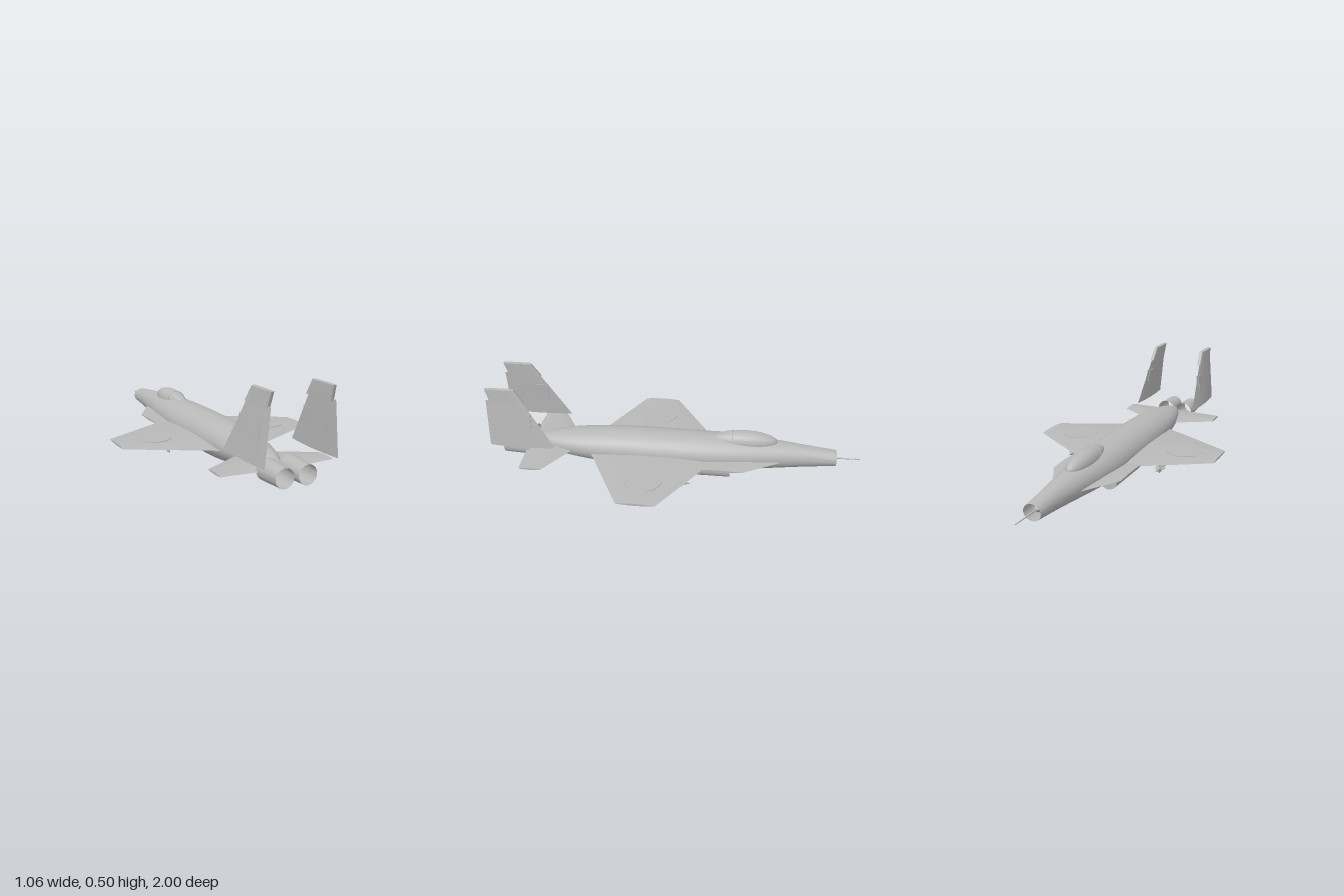
import * as THREE from 'three';
import { toCreasedNormals } from 'three/addons/utils/BufferGeometryUtils.js';

const grey = new THREE.MeshStandardMaterial({ color: 0xb8b8b8, side: THREE.DoubleSide });
grey.name = 'airframe grey';

// Skin a series of equal-length rings of [x, y, z]; optionally close the ends
function loft(rings, capStart = true, capEnd = true) {
  const n = rings[0].length, pos = rings.flat(2), index = [];
  rings.slice(1).forEach((_, i) => {
    for (let j = 0; j < n; j++) {
      const a = i * n + j, b = i * n + (j + 1) % n;
      index.push(a, b, b + n, a, b + n, a + n);
    }
  });
  const last = (rings.length - 1) * n;
  for (let j = 1; j < n - 1; j++) {
    if (capStart) index.push(0, j + 1, j);
    if (capEnd) index.push(last, last + j, last + j + 1);
  }
  const g = new THREE.BufferGeometry();
  g.setAttribute('position', new THREE.Float32BufferAttribute(pos, 3));
  g.setIndex(index);
  return g;
}

// Aerofoil surface along x; stations are [span, leading z, trailing z, y, half thickness].
// power 2 gives a sharp lens section, below 1 gives a boxy one
function panel(stations, power = 2, sides = 24) {
  return loft(stations.map(([x, z0, z1, y, h]) => Array.from({ length: sides }, (_, j) => {
    const a = j / sides * Math.PI * 2, c = Math.cos(a), s = Math.sin(a);
    const chord = power < 1 ? Math.sign(s) * Math.abs(s) ** power : s;
    return [x, y + h * Math.sign(c) * Math.abs(c) ** power, (z0 + z1) / 2 + (z1 - z0) / 2 * chord];
  })));
}

function mirrored(geometry) {
  const g = geometry.clone().scale(-1, 1, 1);
  for (const attribute of [g.attributes.position, g.attributes.normal]) {
    const a = attribute.array;
    for (let i = 0; i < a.length; i += 9) {
      for (let k = 0; k < 3; k++) [a[i + 3 + k], a[i + 6 + k]] = [a[i + 6 + k], a[i + 3 + k]];
    }
  }
  return g;
}

// Tube along z from z0 (radius r0) to z1 (radius r1)
function tube(r0, r1, z0, z1, x, y, open = false, sides = 32) {
  return new THREE.CylinderGeometry(r1, r0, z1 - z0, sides, 1, open)
    .rotateX(Math.PI / 2).translate(x, y, (z0 + z1) / 2);
}

export function createModel() {
  const model = new THREE.Group();
  model.name = 'jetAircraft';
  const add = (name, geometry) => {
    const mesh = new THREE.Mesh(toCreasedNormals(geometry, 0.6), grey);
    mesh.name = name;
    model.add(mesh);
    return mesh;
  };
  const addPair = (name, geometry) => {
    const left = add(name + 'Left', geometry);
    const right = new THREE.Mesh(mirrored(left.geometry), grey);
    right.name = name + 'Right';
    model.add(right);
  };

  // Fuselage: [z, half width, bottom, top], open at the nose
  const stations = [
    [-0.87, 0.047, 0.068, 0.152], [-0.72, 0.058, 0.054, 0.17], [-0.55, 0.08, 0.038, 0.188],
    [-0.35, 0.106, 0.019, 0.203], [-0.18, 0.119, 0.008, 0.21], [0.05, 0.122, 0.003, 0.213],
    [0.3, 0.12, 0.008, 0.211], [0.45, 0.113, 0.022, 0.202], [0.6, 0.095, 0.043, 0.187],
    [0.72, 0.062, 0.067, 0.165], [0.8, 0.026, 0.087, 0.142], [0.835, 0.004, 0.1, 0.125],
  ];
  const spline = (k) => new THREE.CatmullRomCurve3(
    stations.map((s) => new THREE.Vector3(s[0], s[k], s[k + 1])), false, 'centripetal');
  const widths = new THREE.CatmullRomCurve3(
    stations.map(([z, w, b, t]) => new THREE.Vector3(w, (t + b) / 2, z)));
  const heights = new THREE.CatmullRomCurve3(
    stations.map(([z, , b, t]) => new THREE.Vector3((t - b) / 2, 0, z)));
  const rings = Array.from({ length: 45 }, (_, i) => {
    const w = widths.getPoint(i / 44), h = heights.getPoint(i / 44).x;
    return Array.from({ length: 40 }, (_, j) => {
      const a = j / 40 * Math.PI * 2;
      return [w.x * Math.cos(a), w.y + h * Math.sin(a), w.z];
    });
  });
  add('fuselage', loft(rings, false, true));

  // Nose duct back wall and probe
  add('noseDuctWall', tube(0.008, 0.05, -0.84, -0.76, 0, 0.11));
  add('noseProbe', tube(0.0025, 0.005, -1, -0.8, 0, 0.11, false, 12));

  // Canopy bubble and its frame
  add('canopy', new THREE.SphereGeometry(1, 32, 24).scale(0.056, 0.056, 0.178).translate(0, 0.187, -0.372));
  add('canopyFrame', new THREE.TorusGeometry(0.053, 0.002, 6, 40).translate(0, 0.187, -0.305));

  // Lifting surfaces
  addPair('strake', panel([
    [0.04, -0.635, -0.13, 0.107, 0.008], [0.195, -0.37, -0.13, 0.107, 0.005]]));
  addPair('wing', panel([
    [0.03, -0.255, 0.506, 0.104, 0.021], [0.53, 0.05, 0.25, 0.109, 0.006]]));
  addPair('wingDisc', new THREE.CylinderGeometry(0.1, 0.1, 0.004, 48)
    .rotateZ(-0.02).translate(0.33, 0.1175, 0.14));
  addPair('tailplane', panel([
    [0.01, 0.53, 0.835, 0.107, 0.016], [0.295, 0.7, 0.82, 0.109, 0.005]]));

  // Twin fins leaning inward, with thick tip fairings and side plates
  const upright = (s, p) => panel(s, p).rotateZ(Math.PI / 2);
  addPair('fin', upright([
    [0.178, 0.64, 0.998, -0.185, 0.012], [0.44, 0.803, 0.998, -0.161, 0.007]]));
  addPair('finTip', upright([
    [0.43, 0.79, 0.975, -0.159, 0.013], [0.505, 0.84, 0.998, -0.154, 0.012]], 0.4));
  for (const side of [-1, 1]) {
    addPair(side > 0 ? 'finPlateOuter' : 'finPlateInner', new THREE.BoxGeometry(0.004, 0.09, 0.18)
      .rotateZ(0.09).translate(0.1715 + side * 0.006, 0.325, 0.85));
  }

  // Open exhaust nozzles
  addPair('nozzle', tube(0.054, 0.047, 0.81, 0.96, 0.059, 0.11, true));

  // Belly pods beside the fuselage
  addPair('bellyPod', tube(0.05, 0.05, -0.3, 0, 0.087, 0.06, false, 20));

  // Underwing missiles with cross fins and pylons
  const mx = 0.265, my = 0.068;
  addPair('missileBody', tube(0.01, 0.01, -0.07, 0.21, mx, my, false, 16));
  addPair('missileNose', tube(0.001, 0.01, -0.1, -0.07, mx, my, false, 16));
  for (const [name, z] of [['missileFrontFin', -0.04], ['missileRearFin', 0.185]]) {
    addPair(name + 'Flat', new THREE.BoxGeometry(0.05, 0.003, 0.035).translate(mx, my, z));
    addPair(name + 'Upright', new THREE.BoxGeometry(0.003, 0.05, 0.035).translate(mx, my, z));
  }
  addPair('missilePylon', new THREE.BoxGeometry(0.008, 0.035, 0.16).translate(mx, 0.09, 0.08));

  return model;
}
